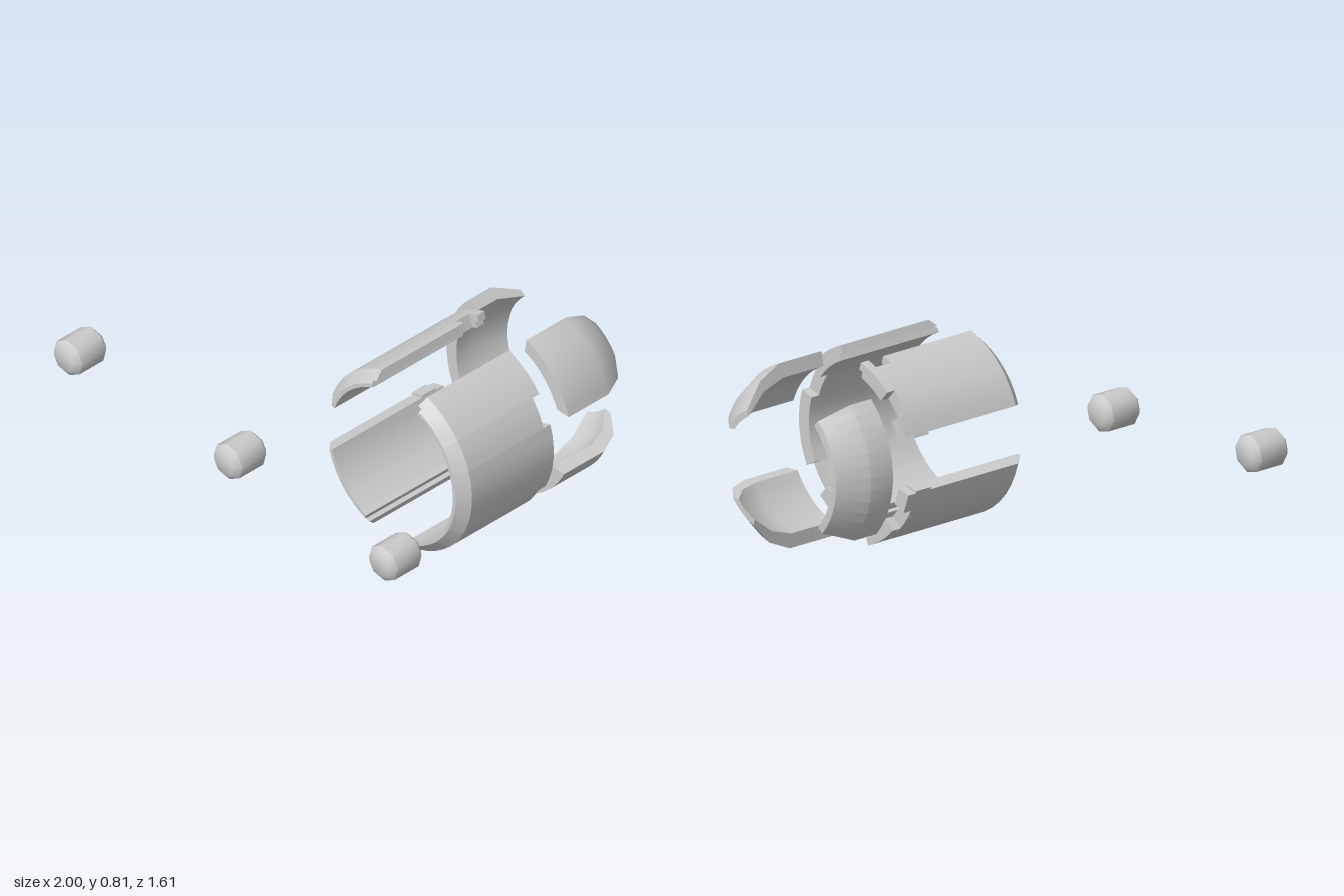
import * as THREE from 'three';
import { toCreasedNormals } from 'three/addons/utils/BufferGeometryUtils.js';

const RAD = Math.PI / 180;
const R = 0.416;   // outer shell radius
const r = 0.354;   // inner shell radius
const material = new THREE.MeshStandardMaterial({ color: 0xcccccc, side: THREE.DoubleSide });

// Sweep a closed (z, radius) section around the z axis from angle a to b (degrees).
// An optional rule bends the angle by radius.
function sweep(section, a, b, rule) {
  const [from, to] = a < b ? [a, b] : [b, a];
  const shape = new THREE.Shape(section.map(([z, rad]) => new THREE.Vector2(z, rad)));
  const steps = Math.max(1, Math.ceil((to - from) / 8));
  const geo = new THREE.ExtrudeGeometry(shape, { depth: 1, steps, bevelEnabled: false });
  const p = geo.attributes.position;
  for (let i = 0; i < p.count; i++) {
    const z = p.getX(i), rad = p.getY(i);
    const t = THREE.MathUtils.lerp(from, to, p.getZ(i));
    const ang = (rule ? rule(t, rad) : t) * RAD;
    p.setXYZ(i, rad * Math.cos(ang), rad * Math.sin(ang), z);
  }
  return toCreasedNormals(geo, 0.5);
}

// Straight band, band with a chamfered front rim, and thin outer lip
const band = (z0, z1, inner = r) => [[z0, inner], [z1, inner], [z1, R], [z0, R]];
const rimmed = (zBack, zFront) => [
  [zBack, r], [zFront, r], [zFront, R - 0.045], [zFront - 0.05, R], [zBack, R],
];
const lip = (zBack, zFront) => [[zBack, 0.382], [zFront - 0.012, 0.382], [zFront - 0.05, R], [zBack, R]];

// A group of swept pieces around one axis
function part(name, x, y, pieces) {
  const group = new THREE.Group();
  group.name = name;
  group.position.set(x, y, 0);
  for (const [section, a, b, rule] of pieces) {
    const mesh = new THREE.Mesh(sweep(section, a, b, rule), material);
    mesh.name = name + 'Piece';
    group.add(mesh);
  }
  return group;
}

// Large half ring with two notches in its rear edge
function halfRing() {
  const axis = -5;
  const pieces = [[rimmed(-0.262, 0.272), axis - 23, axis + 23]];
  for (const s of [1, -1]) {
    pieces.push([rimmed(-0.222, 0.272), axis + s * 23, axis + s * 42]);
    pieces.push([rimmed(-0.262, 0.272), axis + s * 42, axis + s * 70]);
    pieces.push([lip(-0.262, 0.272), axis + s * 70, axis + s * 73]);
  }
  return part('halfRing', 0.465, 0.408, pieces);
}

// Side panel with rear tabs and a stepped lip on its far edge
function sidePanel(name, s) {
  const at = (phi) => 176.7 - s * phi;
  const pieces = [
    [rimmed(-0.33, 0.282), at(17.5), at(65)],
    [rimmed(-0.25, 0.282), at(65), at(69)],
    [lip(-0.25, 0.282), at(69), at(72)],
    [band(-0.33, -0.25), at(16), at(17.5)],
    [band(-0.372, -0.33), at(17.5), at(30)],
    [band(-0.372, -0.33), at(46), at(69)],
    [band(-0.372, -0.33, 0.382), at(69), at(72)],
  ];
  return part(name, 0.472, 0.41, pieces);
}

// Rear lobe: tapers inward to a thin back edge; its middle edge is cut level
function rearLobe(name, s) {
  const section = [
    [-0.365, r], [-0.365, R], [-0.6, R], [-0.71, 0.367], [-0.805, 0.268],
    [-0.805, 0.24], [-0.7, 0.32], [-0.59, r],
  ];
  const cut = 0.15;
  const rule = (t, rad) => {
    const start = Math.asin(cut / rad) / RAD;
    const end = 73 - 34 * (R - rad);
    return -5 + s * THREE.MathUtils.lerp(start, end, (s * (t + 5)) / 73);
  };
  return part(name, 0.465, 0.408, [[section, -5, -5 + s * 73, rule]]);
}

// Small tapered segment between the side panels, further back
function rearSegment() {
  const section = [
    [-0.48, 0.36], [-0.48, R], [-0.6, R], [-0.73, 0.345], [-0.733, 0.314], [-0.6, 0.36],
  ];
  return part('rearSegment', 0.457, 0.42, [[section, 132, 221.5]]);
}

// Short eight-sided pin with soft chamfered ends
function pin(name, x, y) {
  const profile = [[0, -0.096], [0.054, -0.096], [0.084, -0.07], [0.084, 0.07], [0.054, 0.096], [0, 0.096]];
  const geo = new THREE.LatheGeometry(profile.map(([a, b]) => new THREE.Vector2(a, b)), 8);
  const mesh = new THREE.Mesh(toCreasedNormals(geo, 0.79), material);
  mesh.name = name;
  mesh.rotation.set(Math.PI / 2, 0.12, 0);
  mesh.position.set(x, y, 0.707);
  return mesh;
}

export function createModel() {
  const model = new THREE.Group();
  model.name = 'explodedShell';
  model.add(
    halfRing(),
    sidePanel('upperSidePanel', 1),
    sidePanel('lowerSidePanel', -1),
    rearLobe('upperRearLobe', 1),
    rearLobe('lowerRearLobe', -1),
    rearSegment(),
  );
  [[-0.917, 0.521], [0.013, 0.449], [0.915, 0.375]].forEach(([x, y], i) => model.add(pin('pin' + (i + 1), x, y)));
  return model;
}
